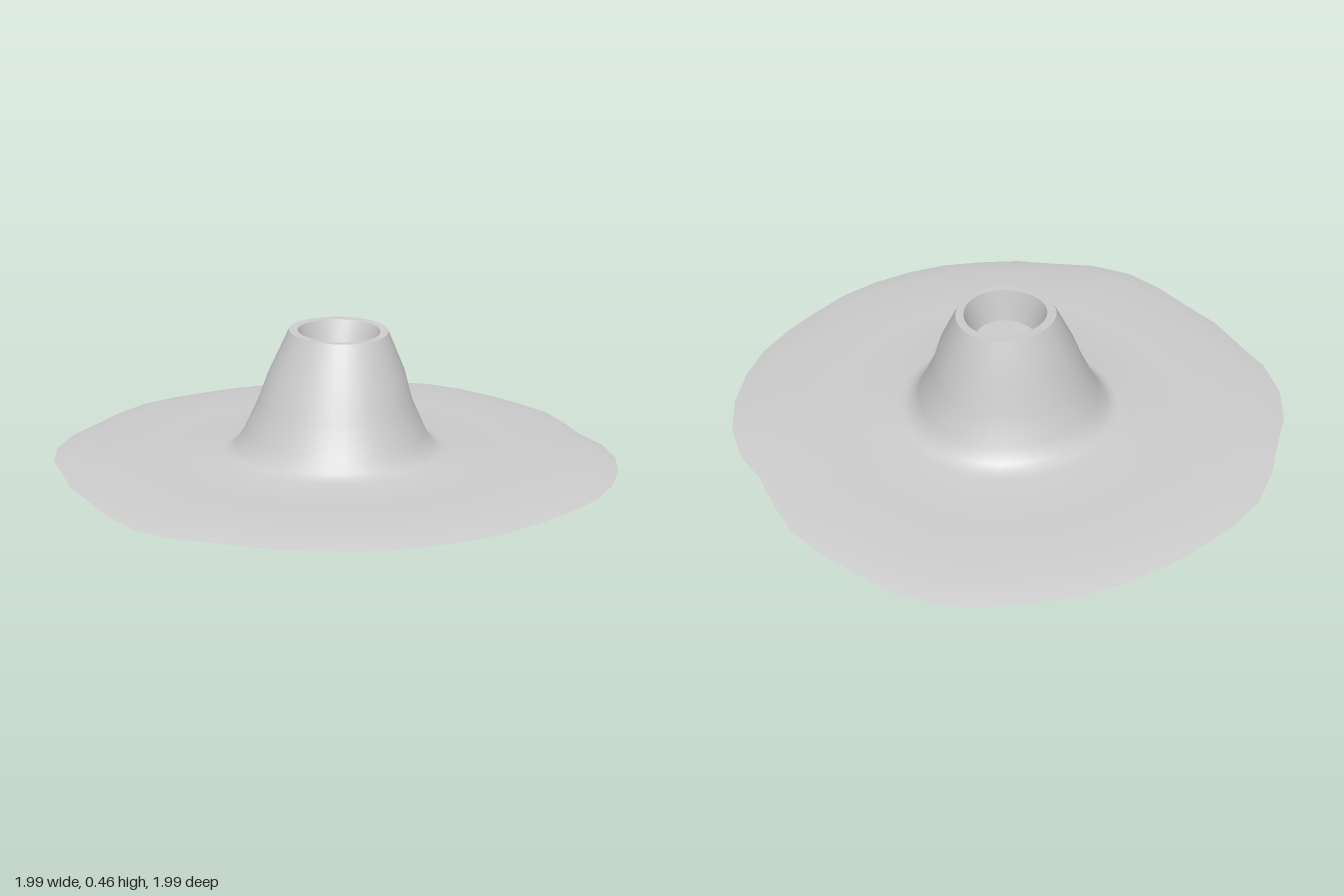
import * as THREE from 'three';
import { toCreasedNormals } from 'three/addons/utils/BufferGeometryUtils.js';

// Ragged outer edge: radius every 9 degrees, clockwise from the back
const OUTLINE = [
  1, 0.99, 0.97, 0.96, 0.96, 0.94, 0.93, 0.97, 0.99, 0.995,
  0.995, 0.99, 0.975, 0.965, 0.97, 0.97, 0.97, 0.97, 0.965, 0.97,
  0.97, 1.0, 1.01, 0.99, 0.97, 0.98, 0.98, 1.01, 1.02, 1.01,
  0.985, 0.99, 0.995, 0.98, 0.965, 0.96, 0.96, 0.97, 0.97, 0.985,
];
const N = OUTLINE.length;

// Rings: radius, height, centre x, centre z, share of the ragged outline, tilt
const GROUND = [
  [1, 0, 0, 0, 1, 0],
  [0.91, 0.02, 0, 0, 1, 0],
  [0.65, 0.02, 0, 0, 0.7, 0],
  [0.405, 0.02, -0.005, 0, 0.2, 0],
  [0.38, 0.027, -0.005, 0.005, 0.1, 0],
  [0.355, 0.042, -0.008, 0.008, 0, 0],
];
const SLOPE = [
  [0.325, 0.09, -0.006, 0.006, 0, 0],
  [0.275, 0.2, -0.006, 0.003, 0, 0],
  [0.243, 0.3, -0.004, -0.008, 0, 0],
  [0.176, 0.45, -0.002, -0.018, 0, 0.008],
];
const CRATER = [
  [0.146, 0.449, 0, -0.015, 0, 0.007],
  [0.128, 0.39, 0, -0.007, 0, 0.003],
  [0.11, 0.325, 0, 0, 0, 0],
];

// Skin a stack of rings from the outside inwards, optionally closed by a floor
function ringSurface(rings, floor) {
  const pos = [], index = [];
  for (const [r, y, cx, cz, ragged, tilt] of rings) {
    for (let j = 0; j < N; j++) {
      const a = (j / N) * Math.PI * 2;
      const bump = 1 + 0.016 * (1 - ragged) * Math.sin(3 * a + 0.6) * Math.min(1, y / 0.04);
      const rad = r * (1 + (OUTLINE[j] - 1) * ragged) * bump;
      const x = Math.sin(a), z = -Math.cos(a);
      pos.push(cx + x * rad, y - tilt * (x + z) * 0.8, cz + z * rad);
    }
  }
  for (let i = 0; i < rings.length - 1; i++) {
    for (let j = 0; j < N; j++) {
      const k = (j + 1) % N;
      const a = i * N + j, b = i * N + k, c = a + N, d = b + N;
      index.push(a, c, b, b, c, d);
    }
  }
  if (floor) {
    const [, y, cx, cz] = rings[rings.length - 1];
    const centre = pos.length / 3, start = centre - N;
    pos.push(cx, y, cz);
    for (let j = 0; j < N; j++) index.push(start + j, centre, start + ((j + 1) % N));
  }
  const geo = new THREE.BufferGeometry();
  geo.setAttribute('position', new THREE.Float32BufferAttribute(pos, 3));
  geo.setIndex(index);
  return toCreasedNormals(geo, 0.9);
}

export function createModel() {
  const group = new THREE.Group();
  group.name = 'volcano';
  const material = new THREE.MeshStandardMaterial({ color: 0xcccccc, side: THREE.DoubleSide });
  const add = (name, geometry) => {
    const mesh = new THREE.Mesh(geometry, material);
    mesh.name = name;
    group.add(mesh);
  };

  // Flat ground and hollow cone share one skin so the foot blends smoothly
  add('groundAndCone', ringSurface([...GROUND, ...SLOPE], false));
  // Flat lip, sunken wall and floor
  add('crater', ringSurface([SLOPE[SLOPE.length - 1], ...CRATER], true));
  return group;
}
